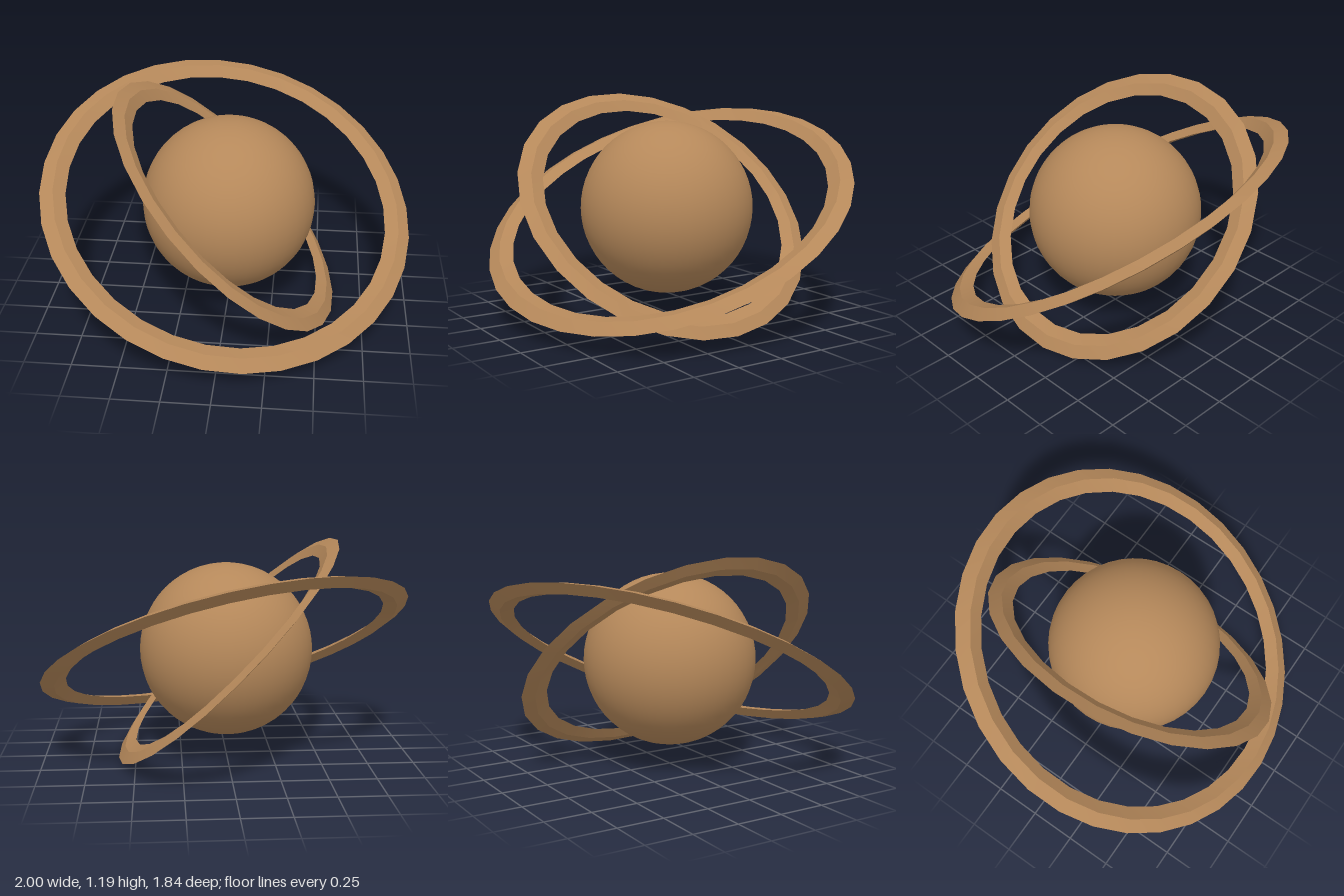
import * as THREE from 'three';
import { toCreasedNormals } from 'three/addons/utils/BufferGeometryUtils.js';

const CENTER_Y = 0.6;

export function createModel() {
  const model = new THREE.Group();
  model.name = 'ringedPlanet';
  const bronze = new THREE.MeshStandardMaterial({ color: 0xb5885a });
  bronze.name = 'bronze';

  const add = (name, geometry) => {
    const mesh = new THREE.Mesh(geometry, bronze);
    mesh.name = name;
    mesh.position.y = CENTER_Y;
    model.add(mesh);
    return mesh;
  };

  // Flat ring with a diamond cross-section, tilted so its axis follows the given direction
  const addRing = (name, inner, outer, halfThickness, segments, axis) => {
    const middle = (inner + outer) / 2;
    const profile = [
      [inner, 0], [middle, -halfThickness], [outer, 0], [middle, halfThickness], [inner, 0],
    ].map(([x, y]) => new THREE.Vector2(x, y));
    const lathe = new THREE.LatheGeometry(profile, segments, Math.PI);
    const ring = add(name, toCreasedNormals(lathe, 0.35));
    ring.quaternion.setFromUnitVectors(new THREE.Vector3(0, 1, 0), axis.normalize());
  };

  // Globe
  add('globe', new THREE.SphereGeometry(0.47, 40, 28));

  // Steep inner ring and gently tilted outer ring
  addRing('innerRing', 0.705, 0.843, 0.018, 25, new THREE.Vector3(1, 1, 0));
  addRing('outerRing', 0.885, 1.023, 0.03, 32, new THREE.Vector3(0.21, 0.875, 0.437));

  return model;
}
